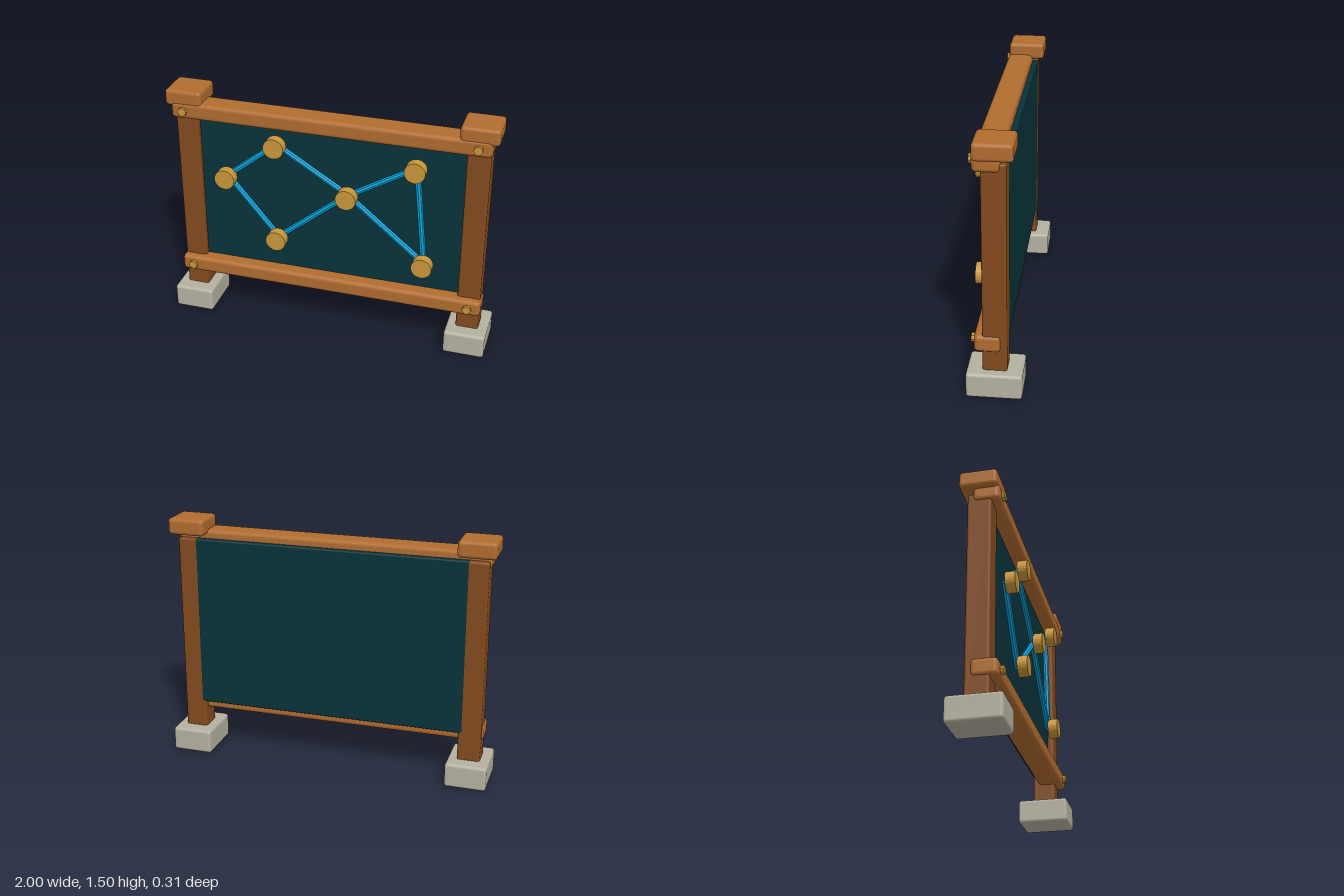
import * as THREE from 'three';
import { RoundedBoxGeometry } from 'three/addons/geometries/RoundedBoxGeometry.js';

const material = (name, color, flatShading = false) => {
  const m = new THREE.MeshStandardMaterial({ color, flatShading });
  m.name = name;
  return m;
};

export function createModel() {
  const model = new THREE.Group();
  model.name = 'ropePuzzleBoard';
  const darkWood = material('dark wood', 0x824a1d);
  const lightWood = material('light wood', 0xb06c2f);
  const stone = material('stone', 0xb5b1a1);
  const boardTeal = material('board teal', 0x08323a);
  const ropeBlue = material('rope blue', 0x08a8e0, true);
  const brass = material('brass', 0xc8963a, true);

  const add = (name, geometry, mat, x, y, z) => {
    const mesh = new THREE.Mesh(geometry, mat);
    mesh.name = name;
    mesh.position.set(x, y, z);
    model.add(mesh);
    return mesh;
  };
  // Rounded block given its size, centre and edge radius
  const block = (name, mat, [w, h, d], [x, y, z], r) =>
    add(name, new RoundedBoxGeometry(w, h, d, 3, r), mat, x, y, z);
  // Short cylinder facing the front
  const disc = (name, radius, sides, back, front, x, y) => {
    const g = new THREE.CylinderGeometry(radius, radius, front - back, sides).rotateX(Math.PI / 2);
    return add(name, g, brass, x, y, (front + back) / 2);
  };

  // Posts with their footings and caps
  for (const [side, s] of [['left', 1], ['right', -1]]) {
    block(side + 'Post', darkWood, [0.137, 1.374, 0.137], [s * 0.875, 0.688, 0], 0.014);
    block(side + 'Footing', stone, [0.25, 0.15, 0.313], [s * 0.875, 0.075, 0], 0.018);
    block(side + 'Cap', lightWood, [0.225, 0.1, 0.219], [s * 0.877, 1.45, 0], 0.022);
  }

  // Board let into the posts, recessed at the front and flush at the back
  block('board', boardTeal, [1.67, 1.058, 0.1], [0, 0.847, -0.019], 0.01);

  // Rails and their bolts
  for (const [level, y] of [['lower', 0.315], ['upper', 1.377]]) {
    block(level + 'Rail', lightWood, [1.906, 0.103, 0.152], [0, y, 0.039], 0.026);
    for (const s of [1, -1]) disc(level + 'Bolt', 0.027, 8, 0.1, 0.134, s * 0.876, y);
  }

  // Pegs
  const pegs = [
    [-0.627, 0.971], [-0.313, 1.221], [0.125, 0.95],
    [0.592, 0.563], [0.53, 1.19], [-0.313, 0.594],
  ];
  for (const [x, y] of pegs) disc('peg', 0.0625, 24, 0.084, 0.144, x, y);

  // Rope segments strung from peg to peg
  const up = new THREE.Vector3(0, 1, 0);
  const route = [0, 1, 2, 3, 4, 2, 5, 0];
  for (let i = 0; i < route.length - 1; i++) {
    const a = new THREE.Vector3(...pegs[route[i]], 0.073);
    const b = new THREE.Vector3(...pegs[route[i + 1]], 0.073);
    const g = new THREE.CylinderGeometry(0.0185, 0.0185, a.distanceTo(b), 8);
    const rope = add('rope', g, ropeBlue, 0, 0, 0);
    rope.position.copy(a).lerp(b, 0.5);
    rope.quaternion.setFromUnitVectors(up, b.clone().sub(a).normalize());
  }

  return model;
}
